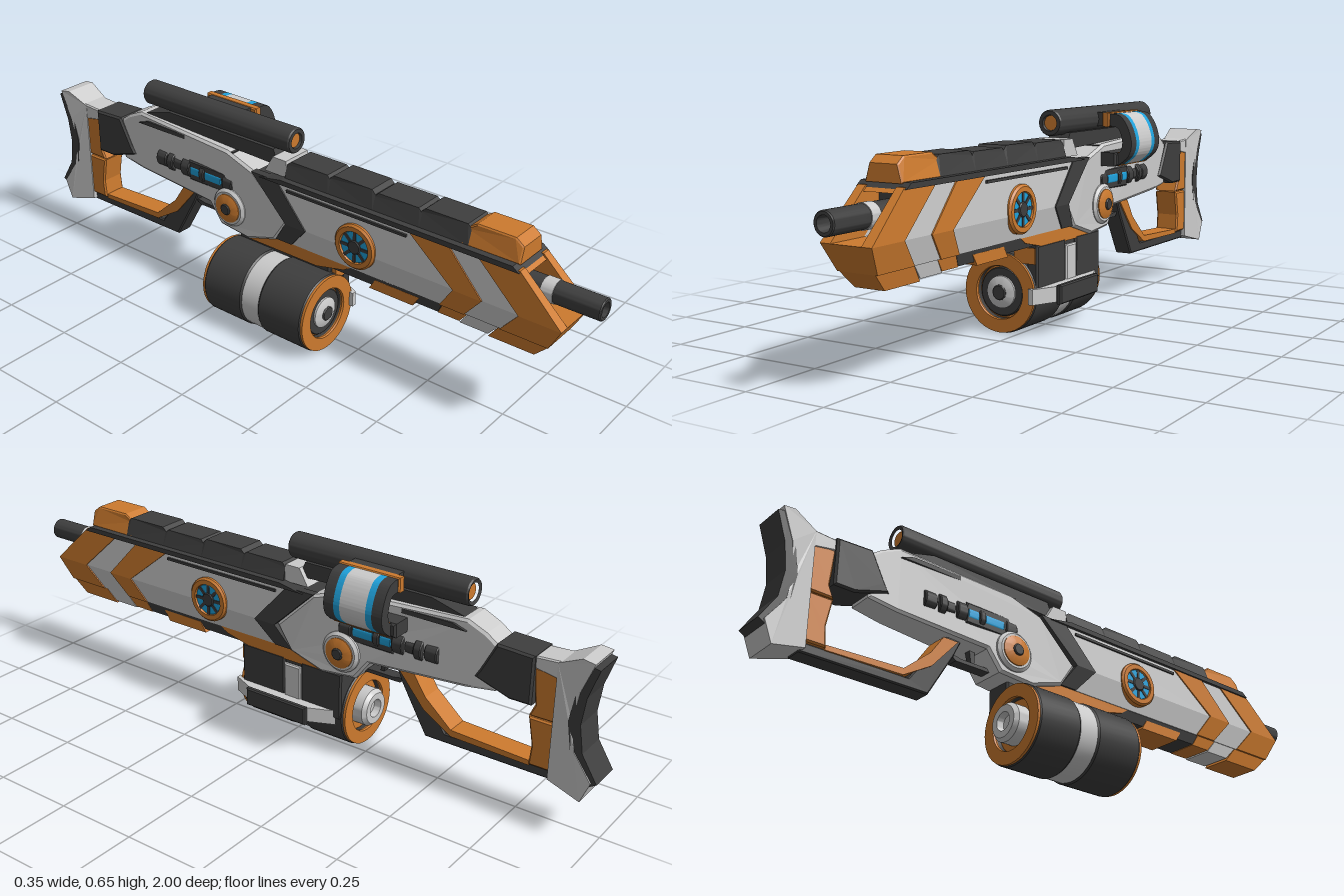
import * as THREE from 'three';
import { toCreasedNormals } from 'three/addons/utils/BufferGeometryUtils.js';

const mat = (color) => new THREE.MeshStandardMaterial({ color });
const GREY = mat(0xcccccc), DARK = mat(0x3e3e3e), ORANGE = mat(0xcc7a2e), BLUE = mat(0x1fa2dc);

export function createModel() {
  const model = new THREE.Group();
  const gun = new THREE.Group();
  gun.name = 'blaster';
  gun.position.x = 0.014;
  model.add(gun);

  const add = (name, geometry, material) => {
    const mesh = new THREE.Mesh(geometry, material);
    mesh.name = name;
    gun.add(mesh);
    return mesh;
  };

  // Side outline of [z, y] points, filled from x0 to x1 (numbers or rules of z and y)
  const prism = (name, pts, material, x0, x1, bevel = 0) => {
    const at = (v, z, y) => (typeof v === 'function' ? v(z, y) : v);
    const t = bevel / (at(x1, ...pts[0]) - at(x0, ...pts[0]));
    const geo = new THREE.ExtrudeGeometry(new THREE.Shape(pts.map((p) => new THREE.Vector2(...p))), {
      depth: 1 - 2 * t, bevelEnabled: bevel > 0, bevelThickness: t, bevelSize: bevel, bevelOffset: -bevel, bevelSegments: 1,
    });
    geo.translate(0, 0, t).rotateY(-Math.PI / 2);
    const p = geo.attributes.position;
    for (let i = 0; i < p.count; i++) {
      const z = p.getZ(i), y = p.getY(i), a = at(x0, z, y), b = at(x1, z, y);
      p.setX(i, b + (b - a) * p.getX(i));
    }
    geo.computeVertexNormals();
    return add(name, geo, material);
  };
  // Same, symmetric about the centre plane
  const solid = (name, pts, material, w, bevel = 0) =>
    prism(name, pts, material, typeof w === 'function' ? (z, y) => -w(z, y) : -w, w, bevel);

  // Turned part: [radius, position along the axis]; axis z, or x with a direction
  const turned = (name, profile, material, [x, y, z], side = 0) => {
    let geo = new THREE.LatheGeometry(profile.map((p) => new THREE.Vector2(...p)), 40);
    if (side) geo.rotateZ(-side * Math.PI / 2); else geo.rotateX(Math.PI / 2);
    geo = toCreasedNormals(geo, 0.5);
    geo.translate(x, y, z);
    return add(name, geo, material);
  };
  const rod = (r, a, b, c = 0.003) => [[0, a], [r - c, a], [r, a + c], [r, b - c], [r - c, b], [0, b]];
  const ring = (ro, ri, a, b) => [[ri, a], [ro, a], [ro, b], [ri, b], [ri, a]];
  const box = (name, x0, x1, y0, y1, z0, z1, material, bevel = 0) =>
    prism(name, [[z0, y0], [z1, y0], [z1, y1], [z0, y1]], material, x0, x1, bevel);

  // Body shell: chevron bands, each with an upper cheek per side and a solid lower half
  const Y = [0.503, 0.376, 0.303];
  const width = (y) => (y > Y[1] ? 0.077 - 0.007 * (y - Y[1]) / 0.127 : 0.077 - 0.017 * (Y[1] - y) / 0.073);
  const bands = [
    ['frontChevron', [0.79, 0.925, 0.885], ORANGE, 0.002],
    ['frontPanel', [0.66, 0.80, 0.74], GREY, -0.002],
    ['midChevron', [0.57, 0.69, 0.63], ORANGE, 0.002],
    ['sidePanel', [0.44, 0.60, 0.55], GREY, -0.002],
    ['rearChevron', [-0.02, 0.095, 0.03], DARK, 0.002],
    ['', [-0.115, 0.02, -0.03]],
  ];
  for (let i = 0; i < bands.length - 1; i++) {
    const [name, a, material, lift] = bands[i], b = bands[i + 1][1];
    const w = (z, y) => width(y) + lift;
    const upper = [[a[0], Y[0]], [a[1], Y[1]], [b[1], Y[1]], [b[0], Y[0]]];
    prism(name + 'Left', upper, material, 0.047, w);
    prism(name + 'Right', upper, material, (z, y) => -w(z, y), -0.047);
    solid(name + 'Lower', [[a[1], Y[1]], [a[2], Y[2]], [b[2], Y[2]], [b[1], Y[1]]], material, w);
  }
  box('innerCore', -0.048, 0.048, 0.31, 0.5, -0.15, 0.74, DARK);
  solid('shoulderPlate', [[0.79, 0.498], [0.77, 0.513], [0, 0.513], [-0.08, 0.498]], DARK, 0.078);
  solid('muzzleFrame', [[0.80, 0.488], [0.78, 0.503], [0.70, 0.503], [0.70, 0.488]], ORANGE, 0.048);
  for (const s of [-1, 1]) {
    box('sideTrim', s * 0.072 - 0.003, s * 0.072 + 0.003, 0.478, 0.486, 0.02, 0.44, DARK);
  }

  // Underside: chin, spacer and keel strips
  const keel = (z, y) => 0.046 + (y - 0.255) * 0.2;
  solid('chin', [[0.885, 0.303], [0.84, 0.257], [0.70, 0.257], [0.735, 0.303]], ORANGE, keel);
  solid('chinSpacer', [[0.735, 0.305], [0.70, 0.264], [0.61, 0.264], [0.64, 0.305]], GREY, keel);
  solid('keelChevron', [[0.64, 0.306], [0.61, 0.268], [0.54, 0.268], [0.56, 0.306]], ORANGE, keel);
  solid('keel', [[0.56, 0.31], [0.54, 0.27], [0.18, 0.27], [0.1, 0.31]], DARK, keel);
  solid('keelPlate', [[0.48, 0.292], [0.46, 0.26], [0.31, 0.26], [0.33, 0.292]], ORANGE, 0.054);
  solid('rearKeel', [[0.25, 0.305], [0.22, 0.285], [0.12, 0.262], [-0.14, 0.262], [-0.15, 0.29], [0, 0.306]], ORANGE, 0.056);

  // Top rail in overlapping segments with a front cap
  const railWidth = (z, y) => (y > 0.557 ? 0.045 : 0.045 + (0.557 - y) * 0.3);
  solid('railCap', [[0.78, 0.51], [0.78, 0.557], [0.755, 0.576], [0.64, 0.576], [0.61, 0.557], [0.60, 0.51]], ORANGE, railWidth, 0.004);
  for (let i = 0; i < 4; i++) {
    const z = 0.625 - i * 0.155, h = 0.568 - (i % 2) * 0.005;
    solid('railSegment', [[z, 0.51], [z, h - 0.012], [z - 0.012, h], [z - 0.145, h], [z - 0.158, h - 0.012], [z - 0.158, 0.51]], DARK, railWidth);
  }
  solid('railEnd', [[0.005, 0.51], [0.0, 0.562], [-0.05, 0.562], [-0.08, 0.51]], GREY, 0.05);

  // Barrel with a hollow mouth and a collar
  turned('barrel', [[0, 0.7], [0.032, 0.7], [0.032, 0.997], [0.029, 1], [0.021, 1], [0.018, 0.95], [0, 0.95]], DARK, [0, 0.437, 0]);
  turned('barrelCollar', ring(0.034, 0.03, 0.83, 0.865), GREY, [0, 0.437, 0]);

  // Rear receiver, narrowing to the stock
  const taper = (z) => 0.068 + Math.min(0, z + 0.1) * 0.04;
  solid('receiver', [[-0.03, 0.30], [0.02, 0.376], [-0.11, 0.5], [-0.22, 0.535], [-0.6, 0.55], [-0.655, 0.525],
    [-0.69, 0.50], [-0.69, 0.365], [-0.6, 0.352], [-0.3, 0.335], [-0.255, 0.275], [-0.14, 0.265]], GREY, taper, 0.008);
  solid('receiverLine', [[-0.2, 0.518], [-0.2, 0.532], [-0.56, 0.532], [-0.6, 0.518]], DARK, 0.056);
  solid('scopeBase', [[-0.04, 0.53], [-0.06, 0.578], [-0.48, 0.578], [-0.60, 0.545]], DARK, 0.035);
  solid('stockBand', [[-0.69, 0.507], [-0.80, 0.502], [-0.80, 0.36], [-0.735, 0.36], [-0.63, 0.395], [-0.645, 0.42]], DARK, 0.053, 0.006);

  // Stock: orange post, flared butt and concave pad
  solid('stockNeck', [[-0.795, 0.5], [-0.88, 0.505], [-0.88, 0.45], [-0.795, 0.465]], GREY, 0.042, 0.004);
  solid('stockPost', [[-0.795, 0.468], [-0.875, 0.468], [-0.875, 0.325], [-0.79, 0.325], [-0.805, 0.36]], ORANGE, 0.04, 0.005);
  solid('stockPostLower', [[-0.79, 0.322], [-0.875, 0.322], [-0.875, 0.18], [-0.80, 0.18], [-0.805, 0.24]], ORANGE, 0.04, 0.005);
  const butt = (z) => (z > -0.90 ? 0.043 : 0.043 + Math.min(0.012, (-0.90 - z) * 0.3));
  solid('butt', [[-0.86, 0.5], [-0.93, 0.535], [-0.965, 0.53], [-0.93, 0.44], [-0.915, 0.35], [-0.93, 0.27],
    [-0.985, 0.195], [-0.96, 0.132], [-0.86, 0.158]], GREY, butt);
  solid('buttPad', [[-0.95, 0.52], [-0.978, 0.515], [-0.95, 0.43], [-0.94, 0.35], [-0.953, 0.27], [-1.0, 0.195],
    [-0.975, 0.18], [-0.92, 0.26], [-0.905, 0.35], [-0.92, 0.44]], DARK, 0.05);

  // Grip loop and trigger
  solid('gripLoop', [[-0.37, 0.345], [-0.395, 0.29], [-0.475, 0.15], [-0.87, 0.15], [-0.87, 0.18], [-0.54, 0.18], [-0.42, 0.345]], DARK, 0.029, 0.004);
  solid('gripInlay', [[-0.385, 0.335], [-0.435, 0.335], [-0.475, 0.275], [-0.56, 0.20], [-0.80, 0.19], [-0.80, 0.175], [-0.56, 0.18], [-0.47, 0.235]], ORANGE, 0.034);
  solid('triggerGuard', [[-0.25, 0.285], [-0.38, 0.285], [-0.40, 0.30], [-0.38, 0.30], [-0.36, 0.296], [-0.25, 0.296]], DARK, 0.018);
  solid('trigger', [[-0.31, 0.345], [-0.33, 0.345], [-0.322, 0.30], [-0.31, 0.30]], DARK, 0.01);

  // Side details on both flanks
  for (const s of [-1, 1]) {
    const disc = [s * 0.05, 0.39, 0.273];
    turned('emblemRing', [[0.05, 0], [0.07, 0], [0.07, 0.028], [0.064, 0.034], [0.05, 0.034], [0.048, 0.028], [0.05, 0]], ORANGE, disc, s);
    turned('emblemGlow', rod(0.05, 0, 0.029), BLUE, disc, s);
    turned('emblemHub', rod(0.022, 0, 0.034), DARK, disc, s);
    for (let i = 0; i < 8; i++) {
      const geo = new THREE.BoxGeometry(0.004, 0.03, 0.01).translate(0, 0.035, 0).rotateX(i * Math.PI / 4);
      add('emblemSpoke', geo.translate(s * 0.079, 0.39, 0.273), DARK);
    }
    const knob = [s * 0.045, 0.35, -0.21];
    turned('pivotRing', [[0, 0], [0.062, 0], [0.062, 0.022], [0.053, 0.03], [0, 0.03]], GREY, knob, s);
    turned('pivotCap', [[0, 0.02], [0.046, 0.02], [0.046, 0.033], [0.03, 0.04], [0, 0.04]], ORANGE, knob, s);
    turned('pivotBolt', rod(0.018, 0.03, 0.045), DARK, knob, s);
    // Row of power cells
    box('cellSlot', s * 0.05 - 0.012, s * 0.05 + 0.012, 0.39, 0.455, -0.38, -0.20, DARK, 0.004);
    for (const [z, len, r, m] of [[-0.22, 0.04, 0.032, DARK], [-0.28, 0.07, 0.028, BLUE], [-0.325, 0.02, 0.033, DARK], [-0.355, 0.04, 0.028, BLUE],
      [-0.395, 0.035, 0.033, DARK], [-0.435, 0.04, 0.024, DARK], [-0.46, 0.025, 0.033, DARK], [-0.50, 0.04, 0.029, DARK]]) {
      turned('powerCell', rod(r, -len / 2, len / 2), m, [s * 0.037, 0.422, z]);
    }
  }

  // Scope tube
  turned('scope', [[0.026, -0.586], [0.036, -0.59], [0.039, -0.585], [0.039, -0.005], [0.036, 0], [0.024, 0], [0.021, -0.012]], DARK, [0, 0.609, 0]);
  turned('scopeLens', rod(0.025, -0.58, -0.008), ORANGE, [0, 0.609, 0]);

  // Curved side canister joining the scope to the receiver
  const strap = new THREE.Shape();
  const v = (p) => new THREE.Vector2(...p);
  strap.moveTo(0.084, 0.628);
  strap.splineThru([[0.105, 0.627], [0.128, 0.617], [0.150, 0.583], [0.161, 0.538], [0.150, 0.500], [0.115, 0.470]].map(v));
  strap.lineTo(0.110, 0.508);
  strap.splineThru([[0.124, 0.516], [0.129, 0.546], [0.115, 0.583], [0.084, 0.591]].map(v));
  for (const [z0, z1, m] of [[-0.405, -0.372, DARK], [-0.372, -0.352, BLUE], [-0.352, -0.268, GREY], [-0.268, -0.248, BLUE], [-0.248, -0.215, DARK]]) {
    const geo = new THREE.ExtrudeGeometry(strap, { depth: z1 - z0, bevelEnabled: false, curveSegments: 16 });
    add('canisterBand', toCreasedNormals(geo.translate(0, 0, z0), 0.5), m);
  }
  box('canisterMount', 0.02, 0.062, 0.588, 0.63, -0.39, -0.23, DARK);
  box('canisterCollar', 0.06, 0.086, 0.588, 0.631, -0.41, -0.21, ORANGE, 0.004);
  box('canisterFoot', 0.03, 0.115, 0.468, 0.51, -0.42, -0.20, DARK, 0.006);
  box('canisterSeam', 0.112, 0.117, 0.469, 0.511, -0.40, -0.22, ORANGE);

  // Drum magazine with end rings and hubs
  const drum = [-0.067, 0.123, 0];
  for (const [a, b] of [[0.0, 0.168], [-0.215, -0.06]]) {
    turned('drumShell', [[0.08, a], [0.116, a], [0.122, a + 0.008], [0.122, b - 0.008], [0.116, b], [0.08, b], [0.08, a]], DARK, drum);
  }
  turned('drumBelt', ring(0.118, 0.08, -0.062, 0.002), GREY, drum);
  for (const [a, b] of [[0.16, 0.172], [-0.219, -0.207]]) {
    turned('drumRim', [[0.08, a], [0.119, a], [0.119, b], [0.08, b], [0.078, (a + b) / 2], [0.08, a]], ORANGE, drum);
  }
  turned('drumCore', rod(0.081, -0.195, 0.148), ORANGE, drum);
  turned('frontHub', rod(0.073, 0.14, 0.158), DARK, drum);
  turned('frontHubCap', [[0, 0.15], [0.048, 0.15], [0.048, 0.164], [0.03, 0.172], [0, 0.172]], GREY, drum);
  turned('frontHubBolt', rod(0.023, 0.16, 0.176), DARK, drum);
  turned('rearHub', [[0, -0.225], [0.026, -0.225], [0.028, -0.247], [0.048, -0.247], [0.058, -0.235], [0.058, -0.19], [0, -0.19]], GREY, drum);

  // Magazine well and side clamp
  box('magazineWell', -0.03, 0.05, 0.19, 0.28, -0.205, 0.15, DARK, 0.006);
  box('wellSideFront', 0.02, 0.057, 0.12, 0.27, 0.0, 0.16, DARK, 0.005);
  box('wellSideRear', 0.02, 0.057, 0.12, 0.27, -0.205, -0.06, DARK, 0.005);
  box('wellSpine', 0.015, 0.06, 0.10, 0.25, -0.06, 0.0, GREY, 0.004);
  box('wellLatch', -0.02, 0.05, 0.215, 0.262, 0.14, 0.165, ORANGE);
  const clampOut = (z) => 0.092 - Math.max(0, Math.abs(z) - 0.11) * 0.5;
  for (const s of [-1, 1]) {
    prism('clampArm', [[s * 0.10, 0.1], [s * 0.185, 0.1], [s * 0.185, 0.146], [s * 0.10, 0.146]], GREY, 0.04, clampOut);
  }
  box('clampCentre', 0.04, 0.092, 0.1, 0.146, -0.10, 0.10, GREY);
  box('clampPlate', 0.088, 0.106, 0.094, 0.151, -0.11, 0.11, DARK, 0.004);

  return model;
}
